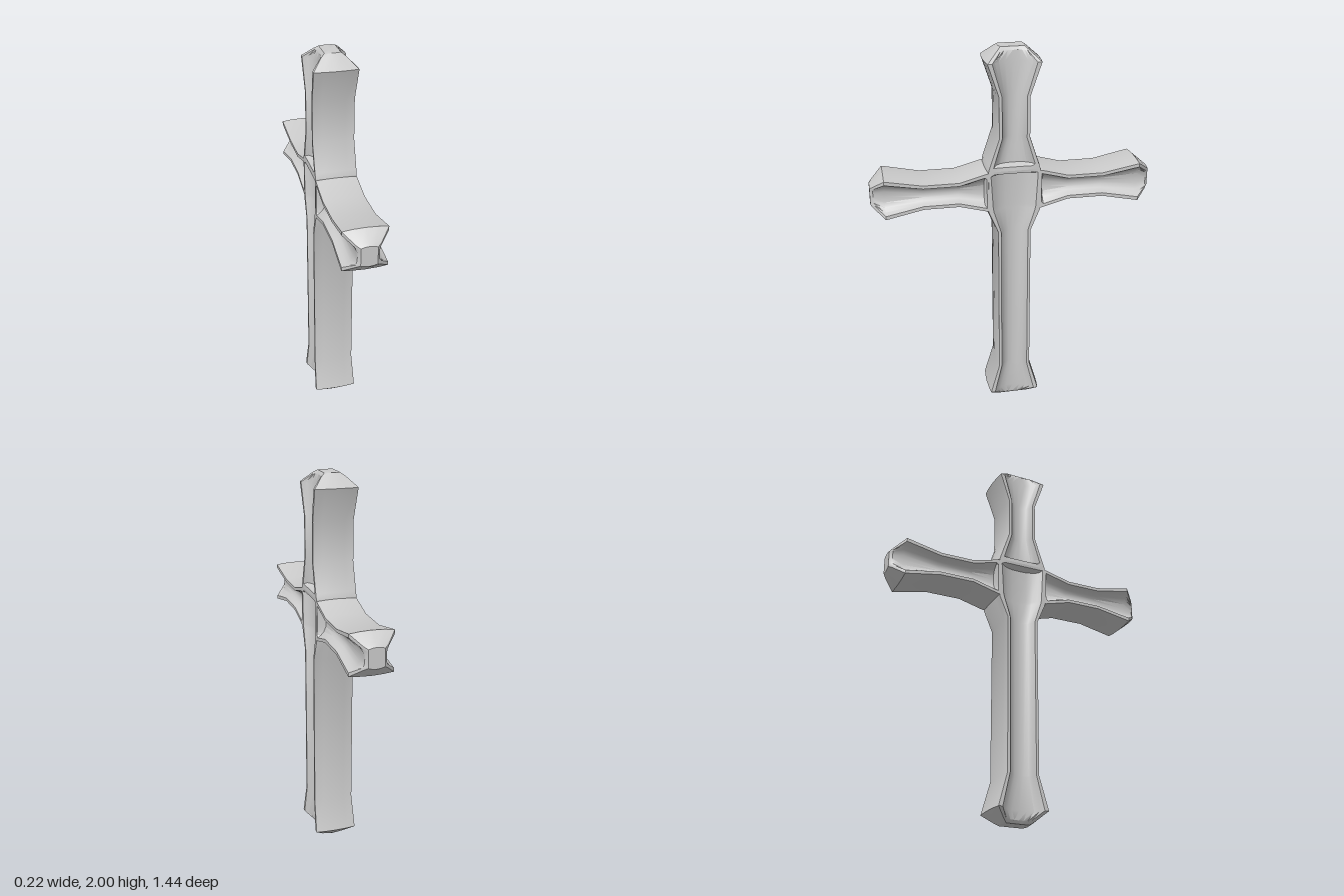
import * as THREE from 'three';
import { toCreasedNormals } from 'three/addons/utils/BufferGeometryUtils.js';

const CENTRE_Y = 1.28;
const PANEL = [1, 0.85, 0.65, 0.35, 0, -0.35, -0.65, -0.85, -1];
const BULGE = 0.008;

// One cross-section: hollow panel and rims on both faces, gently bowed side walls.
function section([s, outer, inner, h, floor]) {
  const half = [];
  half.push([h, outer - BULGE]);
  for (const t of PANEL) {
    half.push([floor + (h - floor) * Math.abs(t) ** 3, inner * t]);
  }
  half.push([h, -(outer - BULGE)]);
  half.push([h * 0.55, -(outer - BULGE * 0.3)]);
  half.push([0, -outer]);
  half.push([-h * 0.55, -(outer - BULGE * 0.3)]);
  // the second half is the first turned by 180 degrees
  return [...half, ...half.map(([x, z]) => [-x, -z])].map(([x, z]) => [x, s, z]);
}

// Loft the sections along +y and close the tip.
function limb(stations) {
  const rings = stations.map(section);
  const n = rings[0].length;
  const positions = rings.flat(2);
  const index = [];
  for (let i = 0; i < rings.length - 1; i++) {
    for (let j = 0; j < n; j++) {
      const k = (j + 1) % n;
      const a = i * n + j, b = i * n + k;
      index.push(a, b, b + n, a, b + n, a + n);
    }
  }
  const last = (rings.length - 1) * n;
  positions.push(0, stations[stations.length - 1][0], 0);
  for (let j = 0; j < n; j++) index.push(rings.length * n, last + j, last + (j + 1) % n);

  const geometry = new THREE.BufferGeometry();
  geometry.setAttribute('position', new THREE.Float32BufferAttribute(positions, 3));
  geometry.setIndex(index);
  return toCreasedNormals(geometry, 0.6);
}

export function createModel() {
  const group = new THREE.Group();
  group.name = 'cross';
  const material = new THREE.MeshStandardMaterial({ color: 0xcccccc });

  function add(name, geometry, turn) {
    const mesh = new THREE.Mesh(geometry, material);
    mesh.name = name;
    mesh.position.y = CENTRE_Y;
    mesh.rotation.x = turn;
    group.add(mesh);
  }

  // Stations: distance from the crossing, outer half width, panel half width, rim height, floor height
  add('upperArm', limb([
    [0.11, 0.14, 0.11, 0.105, 0.105],
    [0.13, 0.135, 0.107, 0.105, 0.103],
    [0.14, 0.131, 0.104, 0.105, 0.06],
    [0.28, 0.085, 0.062, 0.105, 0.055],
    [0.49, 0.085, 0.062, 0.105, 0.055],
    [0.655, 0.14, 0.11, 0.11, 0.055],
    [0.705, 0.085, 0.068, 0.06, 0.052],
    [0.72, 0.067, 0.055, 0.04, 0.04],
  ]), 0);

  // The lower shaft includes the crossing panel
  add('lowerShaft', limb([
    [-0.11, 0.14, 0.12, 0.105, 0.105],
    [-0.095, 0.14, 0.12, 0.105, 0.103],
    [-0.085, 0.14, 0.12, 0.105, 0.06],
    [0.09, 0.14, 0.11, 0.105, 0.055],
    [0.11, 0.14, 0.106, 0.105, 0.055],
    [0.225, 0.092, 0.07, 0.105, 0.055],
    [1.05, 0.092, 0.07, 0.105, 0.055],
    [1.22, 0.14, 0.11, 0.11, 0.055],
    [1.265, 0.09, 0.07, 0.06, 0.052],
    [1.28, 0.07, 0.056, 0.04, 0.04],
  ]), Math.PI);

  // Mirrored cross arms along z
  const arm = limb([
    [0.12, 0.11, 0.085, 0.104, 0.104],
    [0.14, 0.11, 0.084, 0.105, 0.103],
    [0.15, 0.107, 0.082, 0.105, 0.06],
    [0.28, 0.072, 0.047, 0.105, 0.055],
    [0.46, 0.072, 0.047, 0.105, 0.055],
    [0.65, 0.11, 0.083, 0.11, 0.055],
    [0.705, 0.065, 0.045, 0.06, 0.052],
    [0.72, 0.052, 0.04, 0.04, 0.04],
  ]);
  add('frontArm', arm, Math.PI / 2);
  add('backArm', arm, -Math.PI / 2);

  return group;
}
